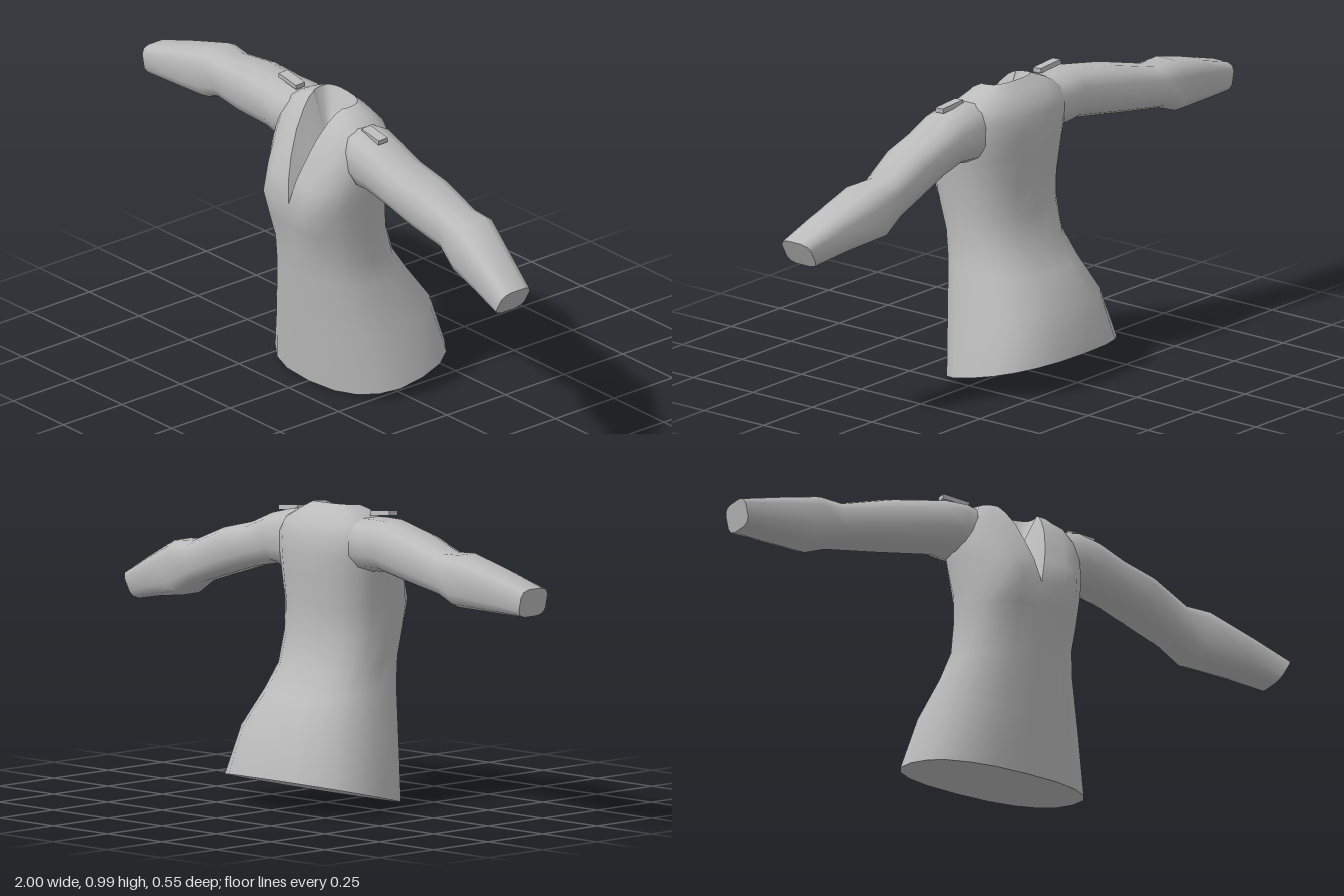
import * as THREE from 'three';
import { toCreasedNormals } from 'three/addons/utils/BufferGeometryUtils.js';

const cloth = new THREE.MeshStandardMaterial({ color: 0xbbbbbb, side: THREE.DoubleSide });
cloth.name = 'grey cloth';

const power = (v, p) => Math.sign(v) * Math.abs(v) ** p;

// Triangles joining neighbouring rings of points
function skin(rings) {
  const tris = [];
  for (let j = 0; j < rings.length - 1; j++) {
    for (let i = 0; i < rings[j].length - 1; i++) {
      const a = rings[j][i], b = rings[j][i + 1], c = rings[j + 1][i + 1], d = rings[j + 1][i];
      tris.push(a, b, c, a, c, d);
    }
  }
  return tris;
}

// Triangles from a centre point to each edge of a loop
function fan(loop, centre) {
  const tris = [];
  for (let i = 0; i < loop.length - 1; i++) tris.push(centre, loop[i], loop[i + 1]);
  return tris;
}

function middle(loop) {
  const c = new THREE.Vector3();
  loop.slice(1).forEach((p) => c.add(p));
  return c.divideScalar(loop.length - 1);
}

function makeMesh(name, tris, crease = 0.9) {
  const geometry = toCreasedNormals(new THREE.BufferGeometry().setFromPoints(tris), crease);
  const mesh = new THREE.Mesh(geometry, cloth);
  mesh.name = name;
  return mesh;
}

// Torso rows: front y, front z, back y, back z, half width, half neck opening, bust
const TORSO = [
  [0.0, 0.165, 0.105, -0.28, 0.31, 0, 0],
  [0.2, 0.19, 0.26, -0.24, 0.265, 0, 0],
  [0.4, 0.212, 0.36, -0.165, 0.215, 0, 0],
  [0.49, 0.225, 0.44, -0.11, 0.197, 0, 0],
  [0.57, 0.235, 0.55, -0.075, 0.202, 0, 0.015],
  [0.655, 0.25, 0.65, -0.075, 0.205, 0, 0.03],
  [0.735, 0.235, 0.75, -0.08, 0.22, 0.018, 0.015],
  [0.8, 0.212, 0.82, -0.085, 0.225, 0.035, 0.004],
  [0.88, 0.175, 0.88, -0.08, 0.225, 0.053, 0],
  [0.935, 0.135, 0.92, -0.065, 0.2, 0.066, 0],
  [0.965, 0.105, 0.955, -0.035, 0.14, 0.075, 0],
  [0.977, 0.08, 0.985, 0.0, 0.088, 0.08, 0],
];
const TIP = 5; // row at the lowest point of the neckline

function torsoRing([yF, zF, yB, zB, w, vx, bust]) {
  const n = 20, ring = [];
  for (let i = 0; i <= n; i++) {
    const a = (i / n) * Math.PI * 2;
    const c = Math.cos(a), s = i === n ? -1e-9 : Math.sin(a);
    const sx = Math.abs(s) ** 0.82;
    const sign = i === 0 ? 1 : Math.sign(s);
    const x = sign * (c > 0 ? vx + (w - vx) * sx : w * sx);
    const f = (power(c, 0.82) + 1) / 2;
    let z = zB + (zF - zB) * f;
    if (c > 0) z += bust * Math.exp(-(((Math.abs(x) - 0.11) / 0.055) ** 2));
    const y = yB + (yF - yB) * f;
    // the upper body turns and leans slightly
    const lean = THREE.MathUtils.clamp((y - 0.5) / 0.4, 0, 1);
    ring.push(new THREE.Vector3(x, y - 0.03 * lean * x, z + 0.07 * lean * x));
  }
  return ring;
}

// Sleeve rows: top x, top y, bottom x, bottom y, back z, front z
const LEFT_SLEEVE = [
  [0.14, 0.935, 0.17, 0.74, -0.02, 0.15],
  [0.2, 0.942, 0.23, 0.745, -0.025, 0.175],
  [0.29, 0.92, 0.27, 0.75, -0.012, 0.172],
  [0.38, 0.88, 0.37, 0.73, -0.013, 0.168],
  [0.5, 0.85, 0.48, 0.695, -0.02, 0.16],
  [0.64, 0.79, 0.6, 0.655, -0.02, 0.132],
  [0.72, 0.785, 0.68, 0.605, -0.025, 0.15],
  [0.88, 0.71, 0.83, 0.583, 0.025, 0.17],
  [1.0, 0.65, 0.95, 0.56, 0.06, 0.185],
];
const RIGHT_SLEEVE = [
  [-0.14, 0.95, -0.17, 0.77, -0.06, 0.13],
  [-0.2, 0.953, -0.23, 0.78, -0.07, 0.15],
  [-0.28, 0.953, -0.27, 0.783, -0.06, 0.135],
  [-0.45, 0.93, -0.47, 0.76, -0.098, 0.09],
  [-0.62, 0.89, -0.63, 0.745, -0.122, 0.037],
  [-0.7, 0.895, -0.7, 0.72, -0.135, 0.04],
  [-0.85, 0.855, -0.84, 0.717, -0.115, 0.035],
  [-1.0, 0.81, -0.98, 0.715, -0.095, 0.03],
];

function makeSleeve(name, rows, side) {
  const n = 12;
  const rings = rows.map(([xT, yT, xB, yB, zB, zF], j) => {
    const p = 0.85 - 0.3 * (j / (rows.length - 1)); // squarer toward the cuff
    const ring = [];
    for (let i = 0; i <= n; i++) {
      const a = ((i % n) + 0.5) / n * Math.PI * 2;
      const up = (power(Math.sin(a), p) + 1) / 2;
      const across = power(Math.cos(a), p) * -side;
      ring.push(new THREE.Vector3(
        xB + (xT - xB) * up,
        yB + (yT - yB) * up,
        (zF + zB) / 2 + across * (zF - zB) / 2));
    }
    return ring;
  });
  const cuff = rings[rings.length - 1];
  return makeMesh(name, [...skin(rings), ...fan(cuff, middle(cuff))]);
}

export function createModel() {
  const model = new THREE.Group();
  model.name = 'fitted top';

  // Body with a V neckline and a closed hem
  const rings = TORSO.map(torsoRing);
  model.add(makeMesh('body', skin(rings)));
  const hem = [...rings[0]].reverse();
  model.add(makeMesh('hem', fan(hem, middle(hem))));

  // Hollow inside the neckline
  const upper = rings.slice(TIP);
  const edge = [
    ...upper.map((r) => r[0]),
    ...upper[upper.length - 1].slice(1),
    ...upper.slice(0, -1).reverse().map((r) => r[r.length - 1]),
  ];
  model.add(makeMesh('neckOpening', fan(edge, new THREE.Vector3(0, 0.8, 0.08))));

  model.add(makeSleeve('leftSleeve', LEFT_SLEEVE, 1));
  model.add(makeSleeve('rightSleeve', RIGHT_SLEEVE, -1));

  // Shoulder tabs
  const tab = new THREE.BoxGeometry(0.095, 0.016, 0.036);
  for (const [name, x, y, z, tilt] of [
    ['leftShoulderTab', 0.242, 0.935, 0.09, -0.1],
    ['rightShoulderTab', -0.215, 0.967, 0.054, -0.1],
  ]) {
    const mesh = new THREE.Mesh(tab, cloth);
    mesh.name = name;
    mesh.position.set(x, y, z);
    mesh.rotation.set(0.1, -0.08, tilt);
    model.add(mesh);
  }
  return model;
}
